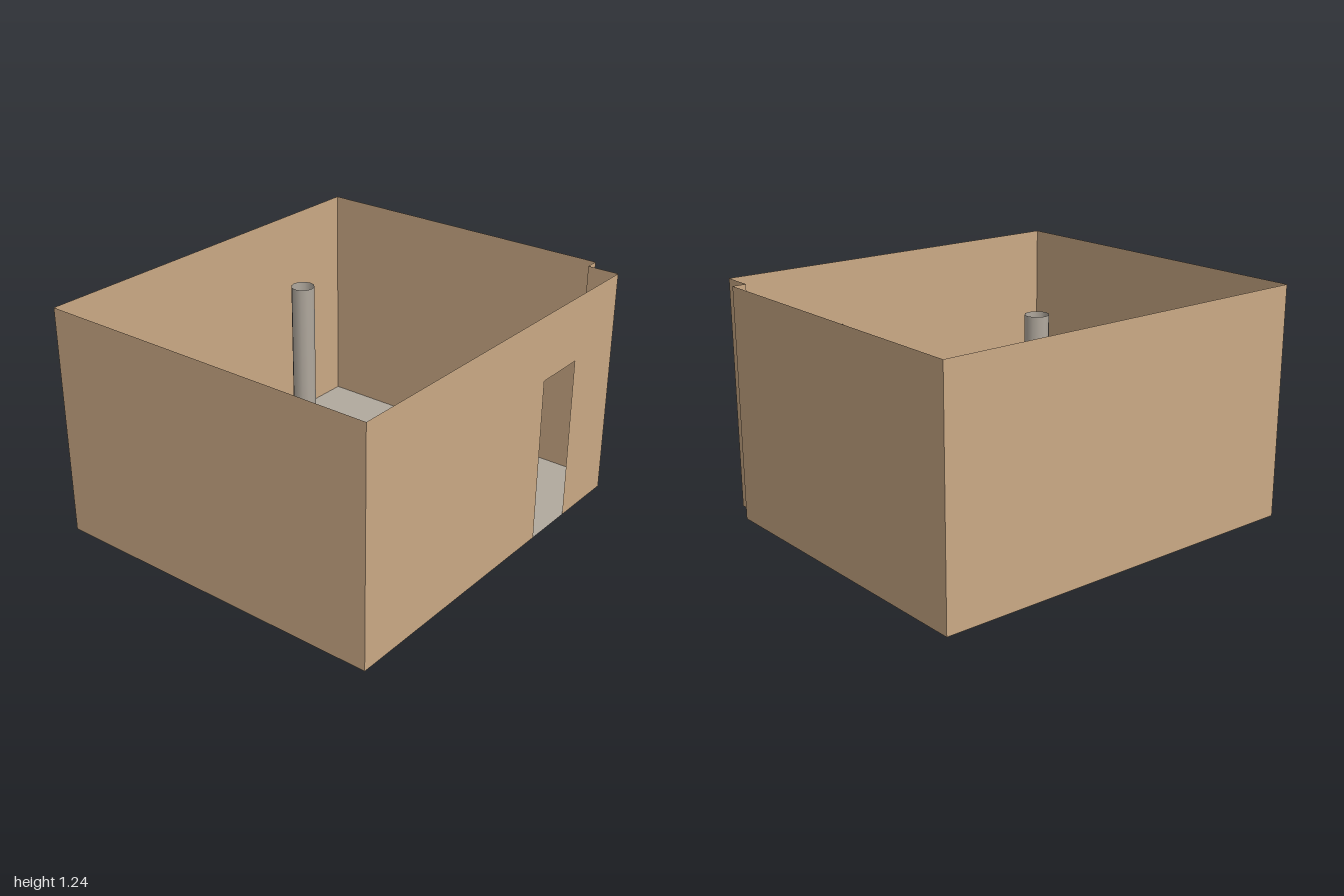
import * as THREE from 'three';

export function createModel() {
  const model = new THREE.Group();
  const tan = new THREE.MeshStandardMaterial({ name: 'tan wall', color: 0xcaa985, side: THREE.DoubleSide });
  const grey = new THREE.MeshStandardMaterial({ name: 'warm grey', color: 0xb1a99e, side: THREE.DoubleSide });
  const base = 0.085, height = 1.155;

  const add = (name, geometry, material, x, y, z) => {
    const mesh = new THREE.Mesh(geometry, material);
    mesh.name = name;
    mesh.position.set(x, y, z);
    model.add(mesh);
    return mesh;
  };

  // Room outline as [x, z], counter-clockwise from above, with a notched front corner
  const outline = [[-1, 0.88], [0.93, 0.88], [0.93, 0.72], [1, 0.72], [1, -0.88], [-1, -0.88]];
  const names = ['frontWall', 'notchSide', 'notchFront', 'leftWall', 'backWall', 'rightWall'];

  // Thin walls, each a flat sheet facing outward; the front one has a doorway
  outline.forEach(([x, z], i) => {
    const [x2, z2] = outline[(i + 1) % outline.length];
    const length = Math.hypot(x2 - x, z2 - z);
    const corners = [[0, 0], [length, 0], [length, height], [0, height]];
    if (i === 0) corners.splice(1, 0, [1.305, 0], [1.305, 0.83], [1.575, 0.83], [1.575, 0]);
    const shape = new THREE.Shape(corners.map(([u, v]) => new THREE.Vector2(u, v)));
    const wall = add(names[i], new THREE.ShapeGeometry(shape), tan, x, base, z);
    wall.rotation.y = Math.atan2(z - z2, x2 - x);
  });

  // Floor sheet
  const floorShape = new THREE.Shape(outline.map(([x, z]) => new THREE.Vector2(x, -z)));
  add('floor', new THREE.ShapeGeometry(floorShape).rotateX(-Math.PI / 2), grey, 0, base, 0);

  // Open pipe passing through the floor
  add('pipe', new THREE.CylinderGeometry(0.056, 0.056, height, 12, 1, true), grey, 0.045, height / 2, -0.318);

  return model;
}
